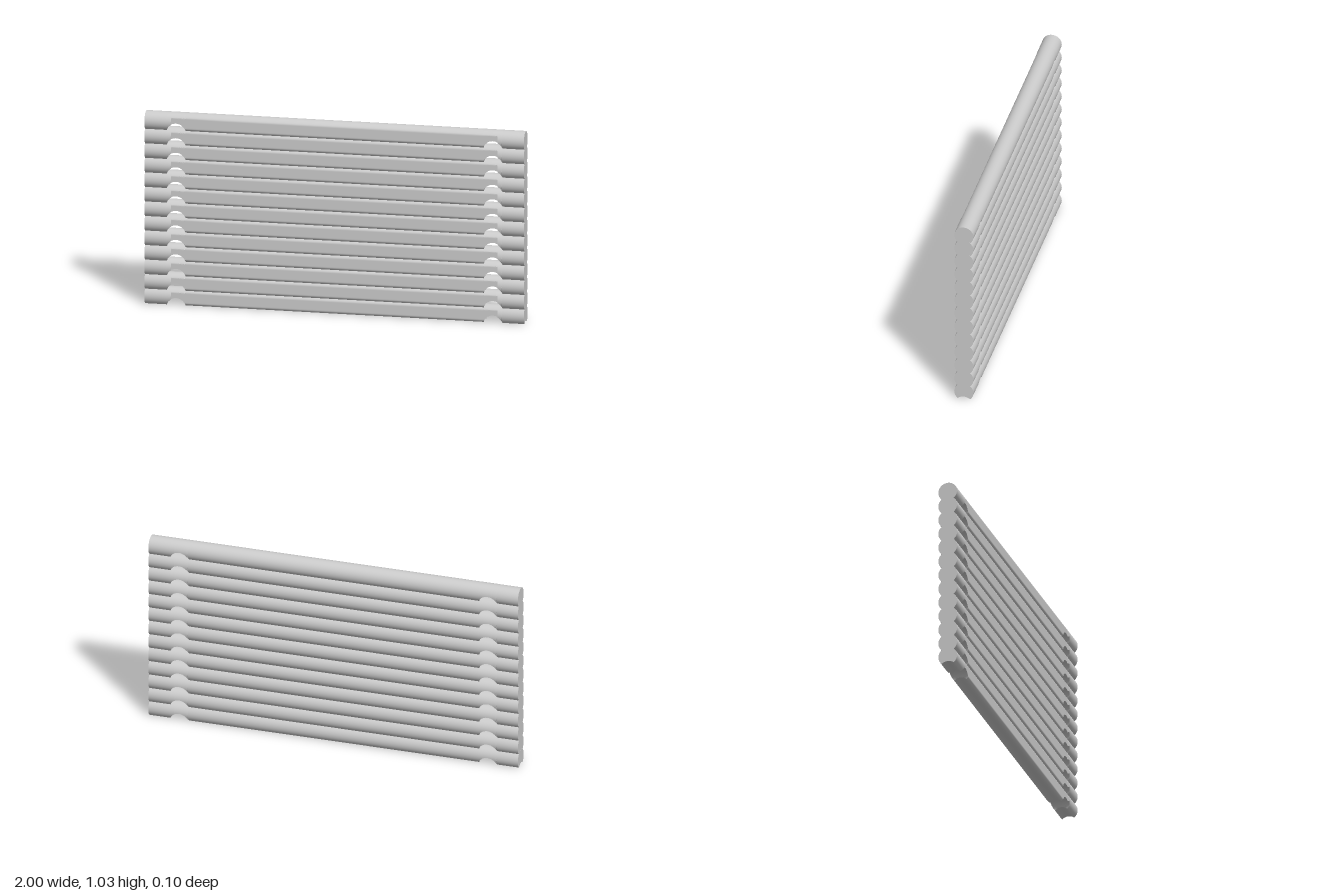
import * as THREE from 'three';
import { toCreasedNormals } from 'three/addons/utils/BufferGeometryUtils.js';

const COUNT = 13;        // stacked logs
const R = 0.051;         // log radius
const PITCH = 0.0782;    // height from log to log
const FLAT = 0.042;      // depth of the planed front face
const FLAT_END = 0.86;   // the planed face stops here
const NOTCH_X = 0.835;   // saddle notches near both ends
const ARC = 44, UNDER = 16;

// Cross-section of a log at x: round back and top, planed front, hollow underside
function section(x) {
  const dx = Math.abs(Math.abs(x) - NOTCH_X);
  const notch = dx < R ? -R + Math.sqrt(R * R - dx * dx) : -R;
  const front = Math.abs(x) <= FLAT_END ? FLAT : R;
  const low = Math.max(-PITCH / 2, notch);
  const a0 = Math.asin(low / R);
  const pts = [];
  for (let i = 0; i <= ARC; i++) {
    const a = a0 + (Math.PI - 2 * a0) * i / ARC;
    pts.push([x, R * Math.sin(a), Math.min(front, R * Math.cos(a))]);
  }
  // underside: groove resting on the log below, or the saddle notch
  const zBack = -R * Math.cos(a0), zFront = Math.min(front, -zBack);
  for (let i = 1; i < UNDER; i++) {
    const z = zBack + (zFront - zBack) * i / UNDER;
    const groove = -PITCH + Math.sqrt(R * R - z * z);
    pts.push([x, Math.max(groove, notch), z]);
  }
  return pts;
}

function logGeometry() {
  // stations along the log, denser through the notches
  const half = [0.3, 0.6, FLAT_END, FLAT_END + 0.001, 1];
  for (let i = 0; i <= 16; i++) half.push(NOTCH_X - 0.0497 * Math.cos(Math.PI * i / 16));
  const xs = [0, ...half, ...half.map(x => -x)].sort((a, b) => a - b);
  const rings = xs.map(section);
  const n = rings[0].length, pos = [];
  const tri = (...corners) => corners.forEach(c => pos.push(...c));

  for (let i = 0; i < rings.length - 1; i++) {
    for (let j = 0; j < n; j++) {
      const k = (j + 1) % n, A = rings[i], B = rings[i + 1];
      tri(A[j], B[j], A[k]);
      tri(B[j], B[k], A[k]);
    }
  }
  // end caps
  const first = rings[0], last = rings[rings.length - 1];
  for (let j = 0; j < n; j++) {
    const k = (j + 1) % n;
    tri([-1, 0, 0], first[j], first[k]);
    tri([1, 0, 0], last[k], last[j]);
  }

  const geo = new THREE.BufferGeometry();
  geo.setAttribute('position', new THREE.Float32BufferAttribute(pos, 3));
  // enlarged while creasing so close vertices stay distinct
  geo.scale(100, 100, 100);
  const creased = toCreasedNormals(geo, 0.5);
  creased.scale(0.01, 0.01, 0.01);
  return creased;
}

export function createModel() {
  const wall = new THREE.Group();
  wall.name = 'logWall';
  const material = new THREE.MeshStandardMaterial({ color: 0xcccccc });
  const geometry = logGeometry();
  for (let i = 0; i < COUNT; i++) {
    const log = new THREE.Mesh(geometry, material);
    log.name = 'log' + (i + 1);
    log.position.y = PITCH / 2 + i * PITCH;
    wall.add(log);
  }
  return wall;
}
